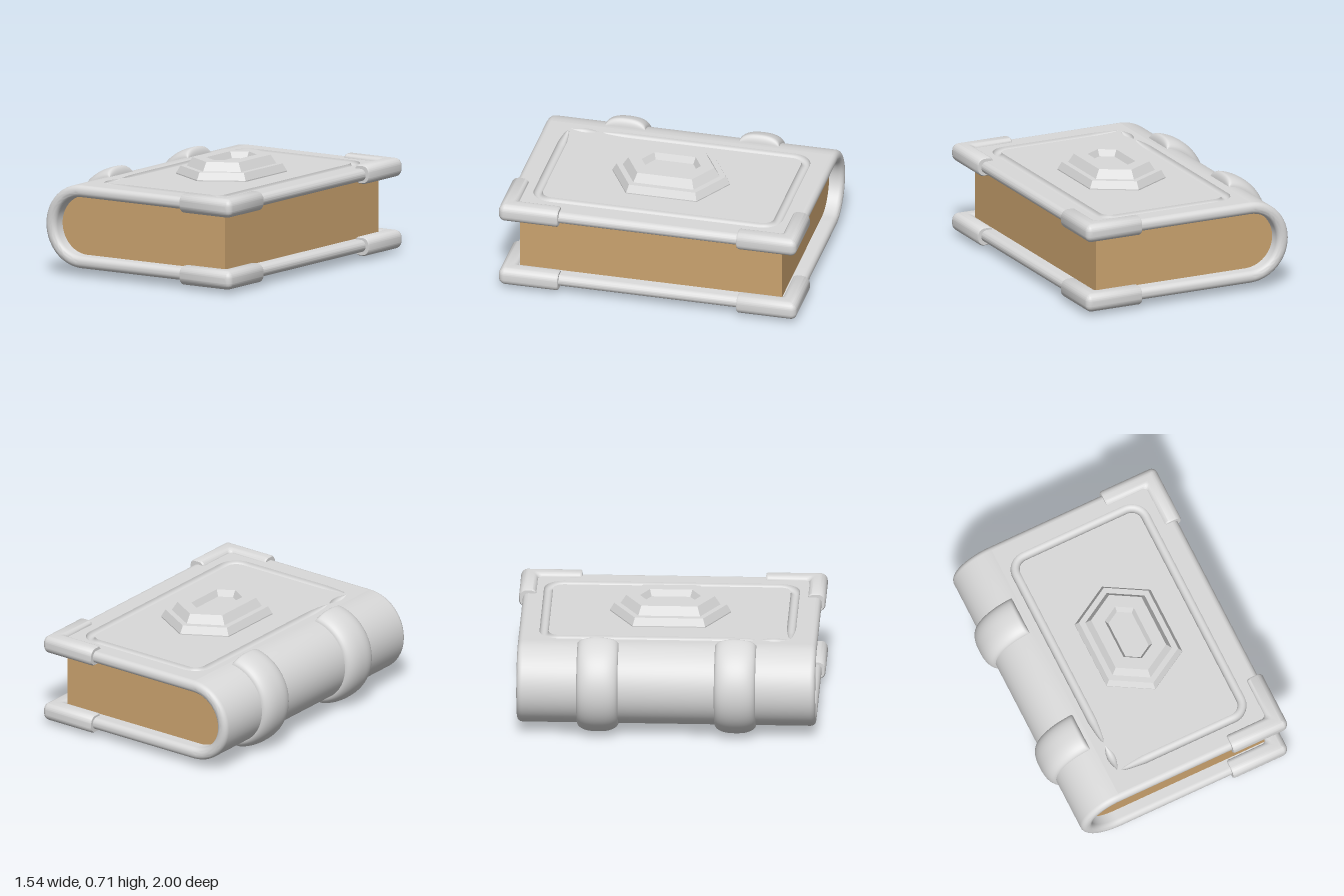
import * as THREE from 'three';
import { toCreasedNormals, mergeGeometries } from 'three/addons/utils/BufferGeometryUtils.js';

const PI = Math.PI;
const MID = 0.33;      // height of the book's middle
const SPINE_X = -0.44; // centre of the spine's curve
const TIP_X = 0.703;   // where the rounded fore-edge of the cover begins
const HALF = 0.275;    // half the book's thickness, also the spine radius
const EDGE = 0.036;    // rounding of the cover's edges
const COVER_Z = 0.975;

// Surface from a grid of points fn(i, j); faces look along di x dj
function grid(ni, nj, fn) {
  const pos = [], idx = [];
  for (let i = 0; i <= ni; i++) for (let j = 0; j <= nj; j++) pos.push(...fn(i, j));
  for (let i = 0; i < ni; i++) {
    for (let j = 0; j < nj; j++) {
      const a = i * (nj + 1) + j, b = a + nj + 1;
      idx.push(a, b, a + 1, b, b + 1, a + 1);
    }
  }
  const g = new THREE.BufferGeometry();
  g.setAttribute('position', new THREE.Float32BufferAttribute(pos, 3));
  g.setIndex(idx);
  g.computeVertexNormals();
  return g;
}

// U-shaped cover with rounded edges; its flat outer faces are left open for the carved panels
function coverGeometry() {
  const p = new THREE.Path();
  p.moveTo(TIP_X, 0.605);
  p.lineTo(SPINE_X, 0.605);
  p.absarc(SPINE_X, MID, HALF, PI / 2, 1.5 * PI, false);
  p.lineTo(TIP_X, 0.055);
  p.absarc(TIP_X, 0.095, 0.04, -PI / 2, PI / 2, false);
  p.lineTo(SPINE_X, 0.135);
  p.absarc(SPINE_X, MID, 0.195, 1.5 * PI, PI / 2, true);
  p.lineTo(TIP_X, 0.525);
  p.absarc(TIP_X, 0.565, 0.04, -PI / 2, PI / 2, false);
  const pts = p.getPoints(14);
  if (pts[0].distanceTo(pts[pts.length - 1]) < 1e-5) pts.pop();
  const depth = 2 * (COVER_Z - EDGE);
  const g = new THREE.ExtrudeGeometry(new THREE.Shape(pts), {
    depth, bevelThickness: EDGE, bevelSize: EDGE, bevelOffset: -EDGE, bevelSegments: 6,
  });
  g.translate(0, 0, -depth / 2);
  const src = g.attributes.position.array, kept = [];
  for (let i = 0; i < src.length; i += 9) {
    const off = [1, 4, 7].map((k) => src[i + k] - MID);
    const flat = off.every((y) => y > HALF - 1e-4) || off.every((y) => y < 1e-4 - HALF);
    if (!flat) for (let k = 0; k < 9; k++) kept.push(src[i + k]);
  }
  const out = new THREE.BufferGeometry();
  out.setAttribute('position', new THREE.Float32BufferAttribute(kept, 3));
  return toCreasedNormals(out, 0.6);
}

// Centre line of the groove that frames a cover
function framePath(closed) {
  const p = new THREE.Path();
  p.moveTo(-0.37, -0.58);
  p.lineTo(-0.37, 0.71);
  p.absarc(-0.27, 0.71, 0.1, PI, PI / 2, true);
  p.lineTo(0.465, 0.81);
  p.absarc(0.465, 0.71, 0.1, PI / 2, 0, true);
  p.lineTo(0.565, -0.7);
  p.absarc(0.465, -0.7, 0.1, 0, -PI / 2, true);
  if (closed) {
    p.lineTo(-0.27, -0.8);
    p.absarc(-0.27, -0.7, 0.1, -PI / 2, -PI, true);
    p.lineTo(-0.37, -0.58);
  } else p.lineTo(-0.35, -0.8);
  return p.getSpacedPoints(200);
}

// Flat face with rounded grooves cut into it, drawn in XY facing +z
function carvedFace(grooves) {
  const face = new THREE.Shape([
    [SPINE_X, -COVER_Z + EDGE], [TIP_X, -COVER_Z + EDGE], [TIP_X, COVER_Z - EDGE], [SPINE_X, COVER_Z - EDGE],
  ].map((c) => new THREE.Vector2(...c)));
  const parts = [];
  for (const { pts, width, closed } of grooves) {
    const n = pts.length - 1;
    const at = (i, k) => {
      const t = pts[Math.min(i + 1, n)].clone().sub(pts[Math.max(i - 1, 0)]).normalize();
      const w = width(i / n) * k;
      return new THREE.Vector2(pts[i].x - t.y * w, pts[i].y + t.x * w);
    };
    const left = pts.map((_, i) => at(i, 1)), right = pts.map((_, i) => at(i, -1));
    if (closed) {
      face.holes.push(new THREE.Path(left.slice(0, n)));
      parts.push(new THREE.ShapeGeometry(new THREE.Shape(right.slice(0, n))));
    } else {
      face.holes.push(new THREE.Path([...left, ...right.slice(1, n).reverse()]));
    }
    parts.push(grid(n, 10, (i, j) => {
      const a = (j / 10 - 0.5) * PI, q = at(i, Math.sin(a));
      return [q.x, q.y, -width(i / n) * Math.cos(a)];
    }));
  }
  parts.push(new THREE.ShapeGeometry(face));
  parts.forEach((g) => g.deleteAttribute('uv'));
  return mergeGeometries(parts);
}

// L-shaped guard: a rounded profile swept round one corner of a cover
function cornerGeometry() {
  const W = 0.115, H = 0.0625, R = 0.05, r = 0.035, bend = 0.04, fillet = 0.03, soft = 0.01;
  const p = new THREE.Path();
  p.moveTo(0, R - H);
  p.lineTo(0, H - R);
  p.absarc(R, H - R, R, PI, PI / 2, true);
  p.lineTo(W - r, H);
  p.absarc(W - r, H - r, r, PI / 2, 0, true);
  p.lineTo(W, r - H);
  p.absarc(W - r, r - H, r, 0, -PI / 2, true);
  p.lineTo(R, -H);
  p.absarc(R, R - H, R, -PI / 2, -PI, true);
  const prof = p.getPoints(8);
  const steps = 8, last = steps + 6;
  const g = grid(last, prof.length - 1, (i, j) => {
    // ends: centre point, slightly shrunk rim, then the full profile
    const end = Math.min(i, last - i);
    const s = end === 0 ? 0 : end === 1 ? 0.9 : 1;
    const d = W / 2 + (prof[j].x - W / 2) * s, y = prof[j].y * s;
    const back = end > 1 ? soft : 0;
    if (i < 3) return [0.37 + back, y, 1 - d];
    if (i > last - 3) return [0.77 - d, y, 0.6 + back];
    const a = ((i - 3) / steps) * (PI / 2);
    const rad = d < bend ? bend - d : ((d - bend) / (W - bend)) * fillet;
    return [0.77 - d - rad + rad * Math.sin(a), y, 1 - d - rad + rad * Math.cos(a)];
  });
  return toCreasedNormals(g, 0.6);
}

// Domed strap wrapped round the spine
function bandGeometry() {
  const soft = 0.09, span = PI / 2 - 0.1;
  return grid(64, 20, (i, j) => {
    const a = Math.sin((i / 32 - 1) * PI / 2) * span;
    const k = Math.sin((j / 10 - 1) * PI / 2);
    const e = Math.max(0, (Math.abs(a) - span + soft) / soft);
    const rise = 0.059 * Math.sqrt(Math.max(0, 1 - e * e)) * Math.sqrt(Math.max(0, 1 - Math.abs(k) ** 2.5));
    const rad = 0.272 + rise;
    return [SPINE_X - rad * Math.cos(a), MID - rad * Math.sin(a), k * 0.135];
  });
}

// Stepped six-sided gem with a sunken centre, from [inset, height] rings
function gemGeometry() {
  const rings = [[0, 0.6], [0, 0.612], [0.024, 0.66], [0.06, 0.66], [0.092, 0.717], [0.17, 0.717], [0.19, 0.675], [0.275, 0.675]];
  const g = grid(rings.length - 1, 6, (i, j) => {
    const [inset, y] = rings[i];
    const a = 0.275 - inset, tip = 0.395 - inset * 1.155;
    const side = tip - a * 0.577;
    const hex = [[0, tip], [-a, side], [-a, -side], [0, -tip], [a, -side], [a, side], [0, tip]];
    return [hex[j][0], y, hex[j][1]];
  });
  // faceted normals
  const flat = g.toNonIndexed();
  flat.computeVertexNormals();
  return flat;
}

export function createModel() {
  const model = new THREE.Group();
  model.name = 'book';
  const grey = new THREE.MeshStandardMaterial({ color: 0xd9d9d9 });
  grey.name = 'light grey';
  const paper = new THREE.MeshStandardMaterial({ color: 0xcba36f });
  paper.name = 'paper';
  const add = (name, geometry, material = grey) => {
    const mesh = new THREE.Mesh(geometry, material);
    mesh.name = name;
    model.add(mesh);
    return mesh;
  };

  add('cover', coverGeometry());

  // Front cover: an open frame groove with tapering ends, plus a short separate notch
  const taper = (t) => 0.03 * Math.sqrt(Math.min(1, t / 0.035, (1 - t) / 0.035));
  const notch = Array.from({ length: 21 }, (_, i) => new THREE.Vector2(-0.37, -0.6 - 0.0095 * i));
  const top = carvedFace([
    { pts: framePath(false), width: taper },
    { pts: notch, width: (t) => 0.027 * Math.sin(PI * t) },
  ]);
  add('topPanel', top.rotateX(-PI / 2).translate(0, MID + HALF, 0));

  // Back cover: a closed frame groove
  const bottom = carvedFace([{ pts: framePath(true), width: () => 0.03, closed: true }]);
  add('bottomPanel', bottom.rotateX(PI / 2).translate(0, MID - HALF, 0));

  // Page block, rounded to fit the spine
  const block = new THREE.Shape();
  block.moveTo(0.65, MID + 0.198);
  block.lineTo(SPINE_X, MID + 0.198);
  block.absarc(SPINE_X, MID, 0.198, PI / 2, 1.5 * PI, false);
  block.lineTo(0.65, MID - 0.198);
  const pages = new THREE.ExtrudeGeometry(block, { depth: 1.76, bevelEnabled: false, curveSegments: 16 });
  add('pages', toCreasedNormals(pages.translate(0, 0, -0.88), 0.6), paper);

  // Corner guards and spine bands
  const corner = cornerGeometry(), band = bandGeometry();
  for (const side of [1, -1]) {
    for (const y of [0.568, 0.092]) {
      const guard = add('cornerGuard', corner);
      guard.position.y = y;
      if (side < 0) guard.rotation.x = PI;
    }
    add('spineBand', band).position.z = side * 0.449;
  }

  add('gem', gemGeometry()).position.x = 0.095;
  return model;
}
